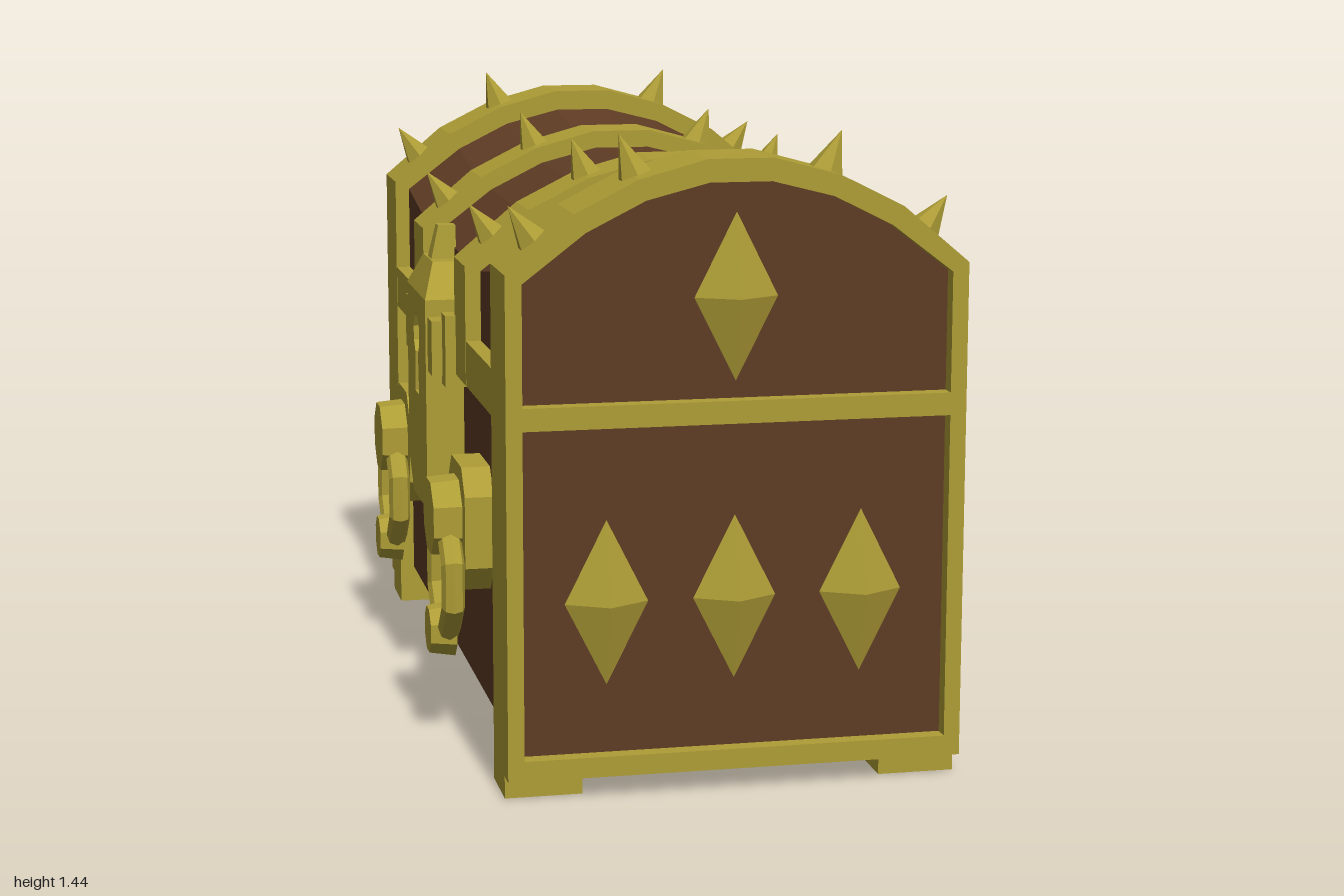
import * as THREE from 'three';

const gold = new THREE.MeshStandardMaterial({ color: 0xae9d36 });
gold.name = 'gold';
const wood = new THREE.MeshStandardMaterial({ color: 0x5f3c24 });
wood.name = 'brown wood';

// Half arches (x, y) from the eave to the crown
const OUTER = [[0.508, 1.155], [0.36, 1.28], [0.22, 1.35], [0.072, 1.39]];
const INNER = [[0.472, 1.135], [0.335, 1.24], [0.205, 1.305], [0.068, 1.34]];

// Closed counter-clockwise outline: flat base at y = base, arch lowered by drop
function archOutline(half, base, drop = 0) {
  const w = half[0][0];
  const right = half.map(([x, y]) => [x, y - drop]);
  const left = right.map(([x, y]) => [-x, y]).reverse();
  return [[-w, base], [w, base], ...right, ...left].map(([x, y]) => new THREE.Vector2(x, y));
}

function flat(geo) {
  const g = geo.index ? geo.toNonIndexed() : geo;
  g.computeVertexNormals();
  return g;
}

function add(parent, name, geo, mat, x = 0, y = 0, z = 0) {
  const mesh = new THREE.Mesh(flat(geo), mat);
  mesh.name = name;
  mesh.position.set(x, y, z);
  parent.add(mesh);
  return mesh;
}

const box = (w, h, d) => new THREE.BoxGeometry(w, h, d);
const extrude = (shape, depth) => new THREE.ExtrudeGeometry(shape, { depth, bevelEnabled: false });
const polygon = (pts) => new THREE.Shape(pts.map(([x, y]) => new THREE.Vector2(x, y)));
const disc = (rFront, rBack, depth) =>
  new THREE.CylinderGeometry(rFront, rBack, depth, 8).rotateY(Math.PI / 8).rotateX(Math.PI / 2);

// Box whose top face is narrowed and whose front leans back towards the top
function taperedBox(w, h, d, topW, topD) {
  const g = box(w, h, d);
  const p = g.attributes.position;
  for (let i = 0; i < p.count; i++) {
    if (p.getY(i) < 0) continue;
    p.setX(i, p.getX(i) * topW);
    if (p.getZ(i) > 0) p.setZ(i, -d / 2 + d * topD);
  }
  return g;
}

// Wooden body lofted along z, with the lid sagging between the end bands
function bodyGeometry() {
  const stations = [[-0.95, 0], [-0.795, 0], [-0.43, 0.05], [0.43, 0.05], [0.795, 0], [0.95, 0]];
  const n = archOutline(INNER, 0.095).length;
  const pos = [], idx = [];
  for (const [z, drop] of stations)
    for (const p of archOutline(INNER, 0.095, drop)) pos.push(p.x, p.y, z);
  for (let s = 0; s < stations.length - 1; s++)
    for (let i = 0; i < n; i++) {
      const a = s * n + i, b = s * n + (i + 1) % n;
      idx.push(a, b, b + n, a, b + n, a + n);
    }
  const last = (stations.length - 1) * n;
  for (let i = 1; i < n - 1; i++) {
    idx.push(0, i + 1, i);
    idx.push(last, last + i, last + i + 1);
  }
  const g = new THREE.BufferGeometry();
  g.setAttribute('position', new THREE.Float32BufferAttribute(pos, 3));
  g.setIndex(idx);
  return g;
}

// Row of four six-sided spikes over an arch
function addSpikes(parent, z, drop) {
  const up = new THREE.Vector3(0, 1, 0);
  for (const side of [-1, 1])
    for (const [x, y, nx, ny] of [[0.43, 1.213, 0.58, 0.81], [0.21, 1.348, 0.37, 0.93]]) {
      const dir = new THREE.Vector3(side * nx, ny, 0).normalize();
      const geo = new THREE.ConeGeometry(0.042, 0.1, 6).translate(0, 0.045, 0);
      const spike = add(parent, 'spike', geo, gold, side * x, y - drop, z);
      spike.quaternion.setFromUnitVectors(up, dir);
    }
}

// One end: framed band, diamond studs, feet and spikes
function buildEnd() {
  const end = new THREE.Group();
  end.name = 'chestEnd';
  const frame = new THREE.Shape(archOutline(OUTER, 0.05));
  frame.holes.push(
    new THREE.Path([[-0.472, 0.095], [-0.472, 0.82], [0.472, 0.82], [0.472, 0.095]].map(([x, y]) => new THREE.Vector2(x, y))),
    new THREE.Path(archOutline(INNER, 0.87).reverse())
  );
  add(end, 'endFrame', extrude(frame, 0.192), gold, 0, 0, 0.795);
  for (const [x, y] of [[-0.284, 0.43], [0, 0.43], [0.284, 0.43], [0, 1.09]]) {
    const geo = new THREE.ConeGeometry(1, 0.05, 4).rotateX(Math.PI / 2).scale(0.092, 0.183, 1);
    add(end, 'diamondStud', geo, gold, x, y, 0.975);
  }
  for (const side of [-1, 1])
    add(end, 'foot', box(0.172, 0.06, 0.145), gold, side * 0.422, 0.03, 0.8675);
  addSpikes(end, 0.893, 0);
  return end;
}

// Lock plate, built facing +z
function buildLock() {
  const lock = new THREE.Group();
  lock.name = 'lock';
  const plate = polygon([[-0.08, 0.47], [0.08, 0.47], [0.16, 0.55], [0.16, 0.98], [-0.16, 0.98], [-0.16, 0.55]]);
  const key = new THREE.Path();
  const a = 0.45;
  key.moveTo(-0.035, 0.73);
  key.lineTo(0.035, 0.73);
  for (let i = 0; i <= 8; i++) {
    const t = -Math.PI / 2 + a + (i / 8) * (2 * Math.PI - 2 * a);
    key.lineTo(0.052 * Math.cos(t), 0.875 + 0.052 * Math.sin(t));
  }
  key.closePath();
  plate.holes.push(key);
  add(lock, 'lockPlate', extrude(plate, 0.095), gold);
  add(lock, 'lockCrown', taperedBox(0.32, 0.08, 0.095, 0.5, 0.68), gold, 0, 1.02, 0.0475);
  add(lock, 'lockFinial', taperedBox(0.07, 0.12, 0.07, 0.6, 0.6), gold, 0, 1.08, 0.035);
  for (const side of [-1, 1]) {
    add(lock, 'lockEar', box(0.08, 0.13, 0.09), gold, side * 0.19, 0.875, 0.045);
    add(lock, 'lockEarTip', box(0.06, 0.17, 0.065), gold, side * 0.25, 0.875, 0.0325);
  }
  return lock;
}

// Hanging ring handle, built facing +z
function buildHandle() {
  const handle = new THREE.Group();
  handle.name = 'ringHandle';
  const plate = polygon([[-0.075, 0.37], [0.075, 0.37], [0.125, 0.43], [0.125, 0.595], [0.075, 0.655],
    [-0.075, 0.655], [-0.125, 0.595], [-0.125, 0.43]]);
  add(handle, 'handlePlate', extrude(plate, 0.07), gold);
  add(handle, 'handleBoss', disc(0.09, 0.098, 0.09), gold, 0, 0.53, 0.09);
  const ring = new THREE.TorusGeometry(0.126, 0.027, 8, 8).rotateZ(Math.PI / 8);
  add(handle, 'ring', ring, gold, 0, 0.39, 0.097);
  add(handle, 'ringKnob', disc(0.055, 0.065, 0.06), gold, 0, 0.262, 0.11);
  return handle;
}

export function createModel() {
  const model = new THREE.Group();
  model.name = 'treasureChest';
  const chest = new THREE.Group();
  chest.name = 'chest';
  chest.position.x = 0.048;
  model.add(chest);

  add(chest, 'woodenBody', bodyGeometry(), wood);

  // Mirrored ends
  const front = buildEnd();
  const back = buildEnd();
  back.rotation.y = Math.PI;
  chest.add(front, back);

  // Rails along the rim and two straps over the lid
  add(chest, 'rimRail', box(1.014, 0.105, 1.6), gold, 0, 0.8725, 0);
  for (const z of [-0.347, 0.347]) {
    const strap = new THREE.Shape(archOutline(OUTER, 0.821, 0.058));
    add(chest, 'lidStrap', extrude(strap, 0.168), gold, 0, 0, z - 0.084);
    addSpikes(chest, z, 0.06);
  }

  // Fittings on the lock side
  const fittings = new THREE.Group();
  fittings.name = 'fittings';
  fittings.position.x = -0.42;
  fittings.rotation.y = -Math.PI / 2;
  fittings.add(buildLock());
  for (const side of [-1, 1]) {
    const handle = buildHandle();
    handle.position.x = side * 0.47;
    fittings.add(handle);
  }
  model.add(fittings);
  return model;
}
